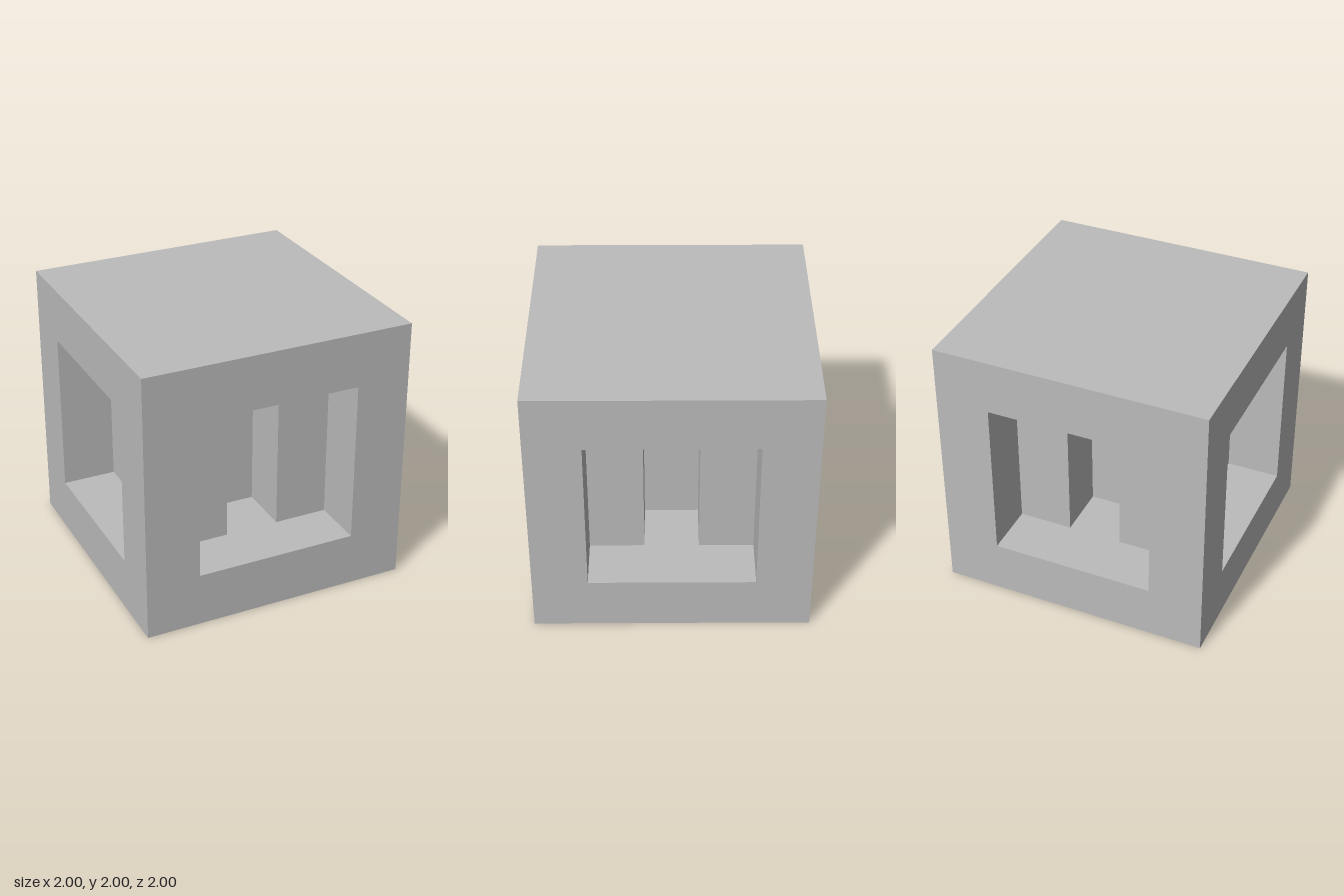
import * as THREE from 'three';

// Cube with a stepped niche in each side: two slabs joined by a checkerboard of square pillars
export function createModel() {
  const model = new THREE.Group();
  const grey = new THREE.MeshStandardMaterial({ color: 0xbbbbbb });
  grey.name = 'plainGrey';

  const cell = 0.4;
  const pillarHeight = 1.2;

  function addBox(name, width, height, x, y, z) {
    const mesh = new THREE.Mesh(new THREE.BoxGeometry(width, height, width), grey);
    mesh.name = name;
    mesh.position.set(x, y, z);
    model.add(mesh);
  }

  // Floor and roof
  addBox('bottomSlab', 2, cell, 0, cell / 2, 0);
  addBox('topSlab', 2, cell, 0, 2 - cell / 2, 0);

  // Core pillar, then inner and outer pillars along both diagonals
  addBox('corePillar', cell, pillarHeight, 0, 1, 0);
  for (const sx of [-1, 1]) {
    for (const sz of [-1, 1]) {
      addBox('innerPillar', cell, pillarHeight, sx * cell, 1, sz * cell);
      addBox('cornerPillar', cell, pillarHeight, sx * 2 * cell, 1, sz * 2 * cell);
    }
  }
  return model;
}
